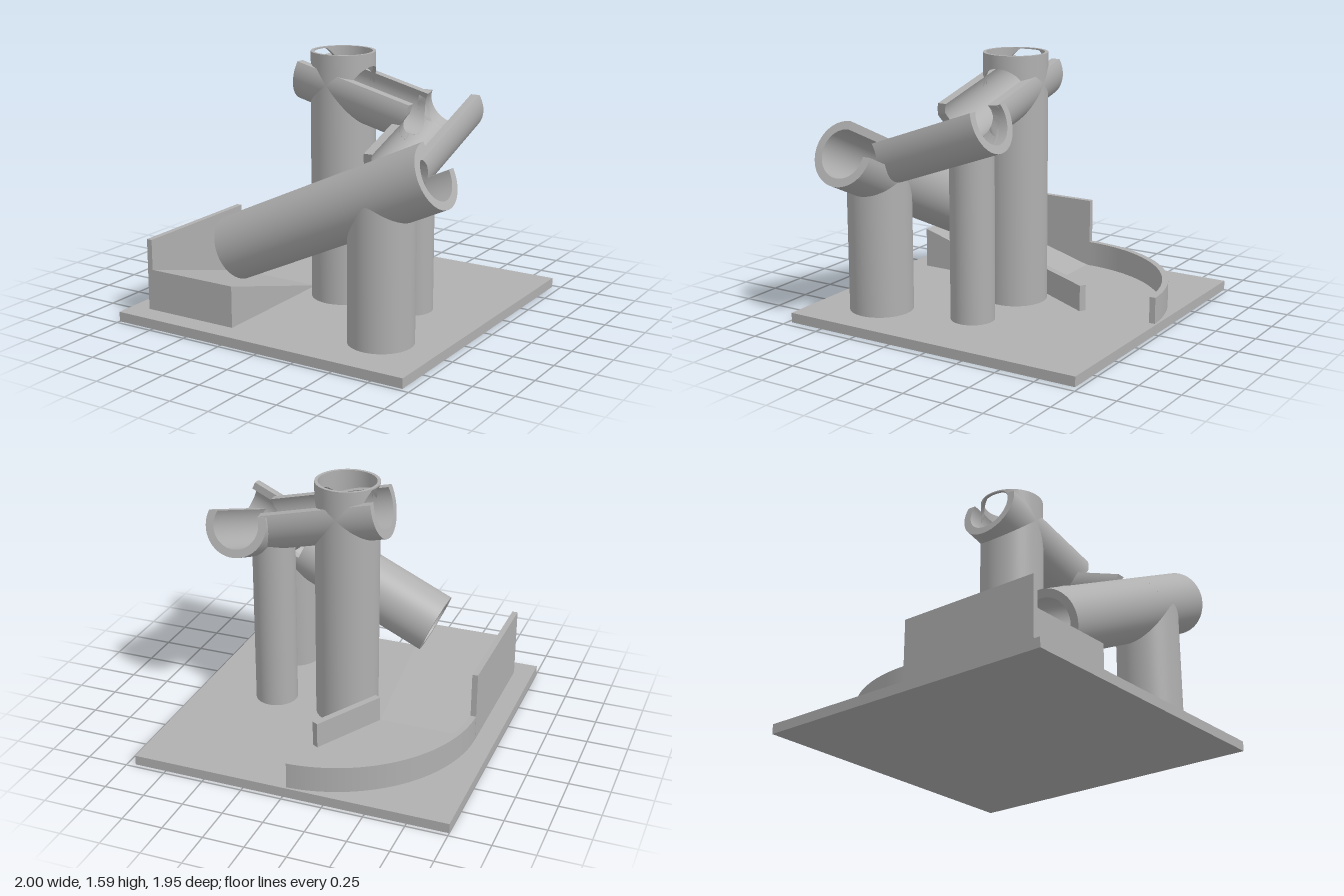
import * as THREE from 'three';
import { mergeGeometries } from 'three/addons/utils/BufferGeometryUtils.js';

const R = 0.195, r = 0.145, MID = 0.17;   // pipe outer, bore and mid-wall radii
const TAU = Math.PI * 2;

// Grid surface from a rule (u, v) -> Vector3
function surface(fn, nu, nv) {
  const pos = [], idx = [];
  for (let i = 0; i <= nu; i++)
    for (let j = 0; j <= nv; j++) pos.push(...fn(i / nu, j / nv).toArray());
  for (let i = 0; i < nu; i++)
    for (let j = 0; j < nv; j++) {
      const a = i * (nv + 1) + j, b = a + nv + 1;
      idx.push(a, b, a + 1, b, b + 1, a + 1);
    }
  const g = new THREE.BufferGeometry();
  g.setAttribute('position', new THREE.Float32BufferAttribute(pos, 3));
  g.setIndex(idx);
  g.computeVertexNormals();
  return g;
}

// Pipe frame: origin, axis d, up n, side s; angle 0 points up
function frame(o, d, len) {
  d.normalize();
  const n = new THREE.Vector3(0, 1, 0).addScaledVector(d, -d.y).normalize();
  const s = n.clone().cross(d);
  return {
    o, d, len,
    at: (t, a, q) => o.clone().addScaledVector(d, t)
      .addScaledVector(n, q * Math.cos(a)).addScaledVector(s, q * Math.sin(a)),
    inBore: (p) => {
      const w = p.clone().sub(o);
      return w.lengthSq() - w.dot(d) ** 2 < r * r;
    },
    // height of the axis plus k times the vertical half chord of radius q
    chord: (x, z, q, k) => {
      const w = Math.abs(d.x) > Math.abs(d.z) ? (x - o.x) / d.x : (z - o.z) / d.z;
      const off = Math.abs(d.x) > Math.abs(d.z) ? z - o.z : x - o.x;
      const cos = Math.sqrt(1 - d.y * d.y);
      return o.y + d.y * w + k * Math.sqrt(Math.max(0, q * q - off * off)) / cos;
    },
  };
}

// Thick shell between angle limits, optionally ending where it enters another bore
function shell(f, t0, t1, a0, a1, next) {
  const clip = (t, a, q) => {
    if (!next) return t;
    for (let k = 0; k < t; k += 0.002) if (next.inBore(f.at(k, a, q))) return k;
    return t;
  };
  const P = (u, v, q) => {
    const t = t0 + (t1 - t0) * v;
    const a = a0(t, q) + (a1(t, q) - a0(t, q)) * u;
    return f.at(clip(t, a, q), a, q);
  };
  const mix = (k) => R + (r - R) * k;
  return mergeGeometries([
    surface((u, v) => P(u, v, R), 48, 64),
    surface((u, v) => P(u, v, r), 48, 64),
    surface((u, k) => P(u, 0, mix(k)), 48, 1),
    surface((u, k) => P(u, 1, mix(k)), 48, 1),
    surface((v, k) => P(0, v, mix(k)), 64, 1),
    surface((v, k) => P(1, v, mix(k)), 64, 1),
  ]);
}

// Upright wall around (cx, cz) between two height rules
function column(cx, cz, q, low, high) {
  return surface((u, v) => {
    const x = cx + q * Math.cos(u * TAU), z = cz - q * Math.sin(u * TAU);
    const y0 = low(x, z);
    return new THREE.Vector3(x, y0 + (high(x, z) - y0) * v, z);
  }, 96, 1);
}

export function createModel() {
  const group = new THREE.Group();
  const grey = new THREE.MeshStandardMaterial({ color: 0xb0b0b0, side: THREE.DoubleSide });
  grey.name = 'plain grey';
  const add = (name, geo) => {
    const m = new THREE.Mesh(geo, grey);
    m.name = name;
    group.add(m);
    return m;
  };
  const box = (name, x0, x1, y0, y1, z0, z1) =>
    add(name, new THREE.BoxGeometry(x1 - x0, y1 - y0, z1 - z0))
      .position.set((x0 + x1) / 2, (y0 + y1) / 2, (z0 + z1) / 2);
  const V = (x, y, z) => new THREE.Vector3(x, y, z);
  const floor = () => 0.06;

  box('base', -1, 0.95, 0, 0.06, -0.975, 0.975);

  // Pipe axes
  const upper = frame(V(-0.249, 1.464, 0), V(0.9715, -0.237, 0), 0.78);
  const middle = frame(V(0.597, 1.303, -0.228), V(0, -0.342, 0.94), 0.74);
  const lower = frame(V(-0.41, 0.459, 0.575), V(0.907, 0.4215, 0), 1.465);

  // Open troughs, with walls rising slightly above the axis
  const rim = (t, q) => Math.acos(0.07 / q);
  const rimEnd = (t, q) => TAU - rim(t, q);
  add('upperTrough', shell(upper, 0, upper.len, rim, rimEnd, middle));
  const notchedRim = (t, q) => {
    let a = rimEnd(t, q);
    while (a > 1.2 * Math.PI && upper.inBore(middle.at(t, a, q))) a -= 0.01;
    return a;
  };
  add('middleTrough', shell(middle, 0, middle.len, rim, notchedRim, lower));

  // Closed pipe with its upper back quarter open near the top
  const notch = 0.955;
  add('lowerPipe', shell(lower, 0, notch, () => 0, () => TAU));
  add('lowerPipeOpenEnd', shell(lower, notch, lower.len, () => Math.PI / 2, () => TAU));

  // Tall pillar with a funnel mouth pierced by the upper trough
  const px = -0.025, top = 1.59;
  const holeTop = (x, z) => Math.min(top - 0.008, upper.chord(x, z, r, 1));
  add('tallPillar', column(px, 0, R, floor, (x, z) => upper.chord(x, z, MID, -1)));
  const edge = (h) => surface((u, k) => {
    const q = R - 0.02 * k, x = px + q * Math.cos(u * TAU), z = q * Math.sin(u * TAU);
    return V(x, h(x, z), z);
  }, 96, 1);
  add('tallPillarMouth', mergeGeometries([
    column(px, 0, R, holeTop, () => top),
    column(px, 0, 0.175, holeTop, () => top),
    edge(holeTop), edge(() => top),
  ]));

  // Supporting pillars, ending inside the pipe walls
  add('frontPillar', column(0.582, 0.575, 0.193, floor, (x, z) => lower.chord(x, z, MID, -1)));
  add('thinPillar', column(0.455, 0, 0.132, floor,
    (x, z) => Math.min(upper.chord(x, z, MID, -1), middle.chord(x, z, MID, -1))));

  // Ramp wedge: profile in z and y, extruded along x
  const wedge = new THREE.Shape([
    new THREE.Vector2(0.07, 0.055), new THREE.Vector2(-0.84, 0.055), new THREE.Vector2(-0.84, 0.313),
  ]);
  const ramp = add('ramp', new THREE.ExtrudeGeometry(wedge, { depth: 0.615, bevelEnabled: false }));
  ramp.rotation.y = Math.PI / 2;
  ramp.position.x = -0.88;
  box('rampWall', -0.88, -0.845, 0.06, 0.5, -0.07, 0.84);

  // Curved guide wall, drawn in plan and extruded upwards
  const arc = new THREE.Shape();
  const endA = Math.PI - 1.533;
  arc.absarc(0, 0, 0.893, Math.PI, endA, true);
  arc.absarc(0, 0, 0.856, endA, Math.PI, false);
  const guide = add('curvedGuide', new THREE.ExtrudeGeometry(arc,
    { depth: 0.16, bevelEnabled: false, curveSegments: 48 }));
  guide.rotation.x = -Math.PI / 2;
  guide.position.set(0.014, 0.06, -0.07);

  // Straight guide wall
  const guard = add('straightGuide', new THREE.BoxGeometry(0.5, 0.16, 0.042));
  guard.rotation.y = 1.067;
  guard.position.set(-0.125, 0.14, -0.268);

  return group;
}
